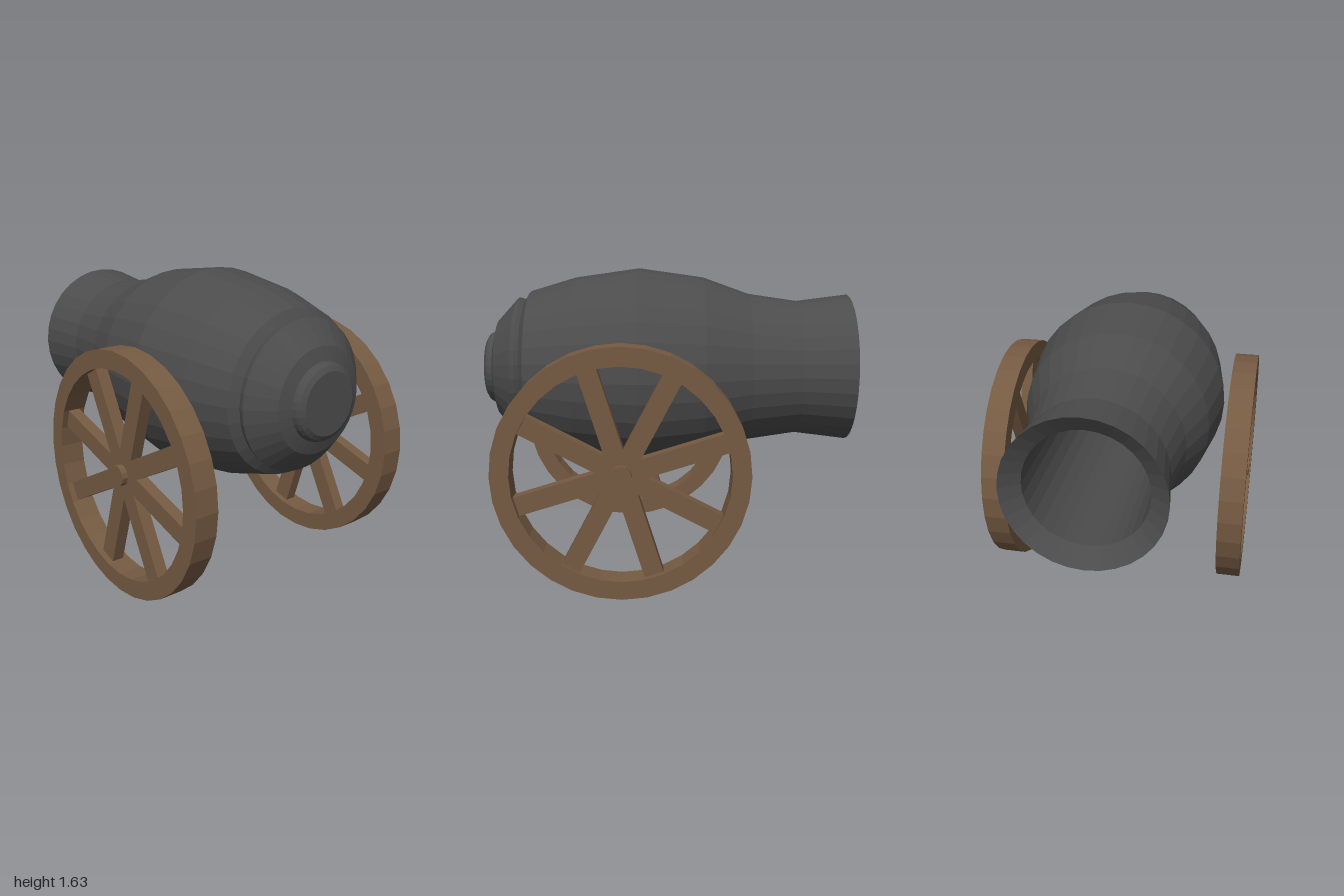
import * as THREE from 'three';

const iron = new THREE.MeshStandardMaterial({ color: 0x4c4c4c, flatShading: true });
const wood = new THREE.MeshStandardMaterial({ color: 0x755a42, flatShading: true });

function addMesh(parent, name, geometry, material) {
  const mesh = new THREE.Mesh(geometry, material);
  mesh.name = name;
  parent.add(mesh);
  return mesh;
}

// Barrel: one turned profile [radius, z], from the bore out over the muzzle to the breech
function createBarrel() {
  const profile = [
    [0, 0.6], [0.31, 0.6], [0.31, -0.93],                       // bore
    [0.405, -1], [0.37, -0.72], [0.41, -0.45], [0.5, -0.2],     // muzzle and neck
    [0.55, 0.15], [0.5, 0.5], [0.425, 0.75],                    // belly
    [0.375, 0.78], [0.385, 0.8], [0.39, 0.82],                  // groove and band
    [0.27, 0.93], [0.2, 0.95], [0.195, 0.97], [0.185, 0.985],   // breech
    [0.16, 1], [0, 1],                                          // end button
  ].map(([r, z]) => new THREE.Vector2(r, z));
  return new THREE.LatheGeometry(profile, 32).rotateX(Math.PI / 2);
}

// Wheel: built about the local z axis, then turned so the axle runs along x
function createWheel(name) {
  const R = 0.652, inner = 0.555, width = 0.13, spokes = 8;
  const wheel = new THREE.Group();
  wheel.name = name;

  const ring = (r) => Array.from({ length: 32 }, (_, i) => {
    const a = (i / 32) * Math.PI * 2;
    return new THREE.Vector2(r * Math.cos(a), r * Math.sin(a));
  });
  const rim = new THREE.Shape(ring(R));
  rim.holes.push(new THREE.Path(ring(inner)));
  addMesh(wheel, 'rim', new THREE.ExtrudeGeometry(rim, { depth: width, bevelEnabled: false })
    .translate(0, 0, -width / 2), wood);

  for (let i = 0; i < spokes; i++) {
    const spoke = new THREE.BoxGeometry(0.57, 0.1, 0.065).translate(0.285, 0, 0);
    spoke.rotateZ(0.3 + (i / spokes) * Math.PI * 2);
    addMesh(wheel, 'spoke', spoke, wood);
  }

  addMesh(wheel, 'hub', new THREE.CylinderGeometry(0.055, 0.055, width, 12).rotateX(Math.PI / 2), wood);
  wheel.rotation.y = Math.PI / 2;
  return wheel;
}

export function createModel() {
  const cannon = new THREE.Group();
  cannon.name = 'cannon';

  addMesh(cannon, 'barrel', createBarrel(), iron).position.y = 1.085;

  for (const side of [-1, 1]) {
    const wheel = createWheel(side > 0 ? 'leftWheel' : 'rightWheel');
    wheel.position.set(side * 0.65, 0.652, 0.232);
    cannon.add(wheel);
  }
  return cannon;
}
